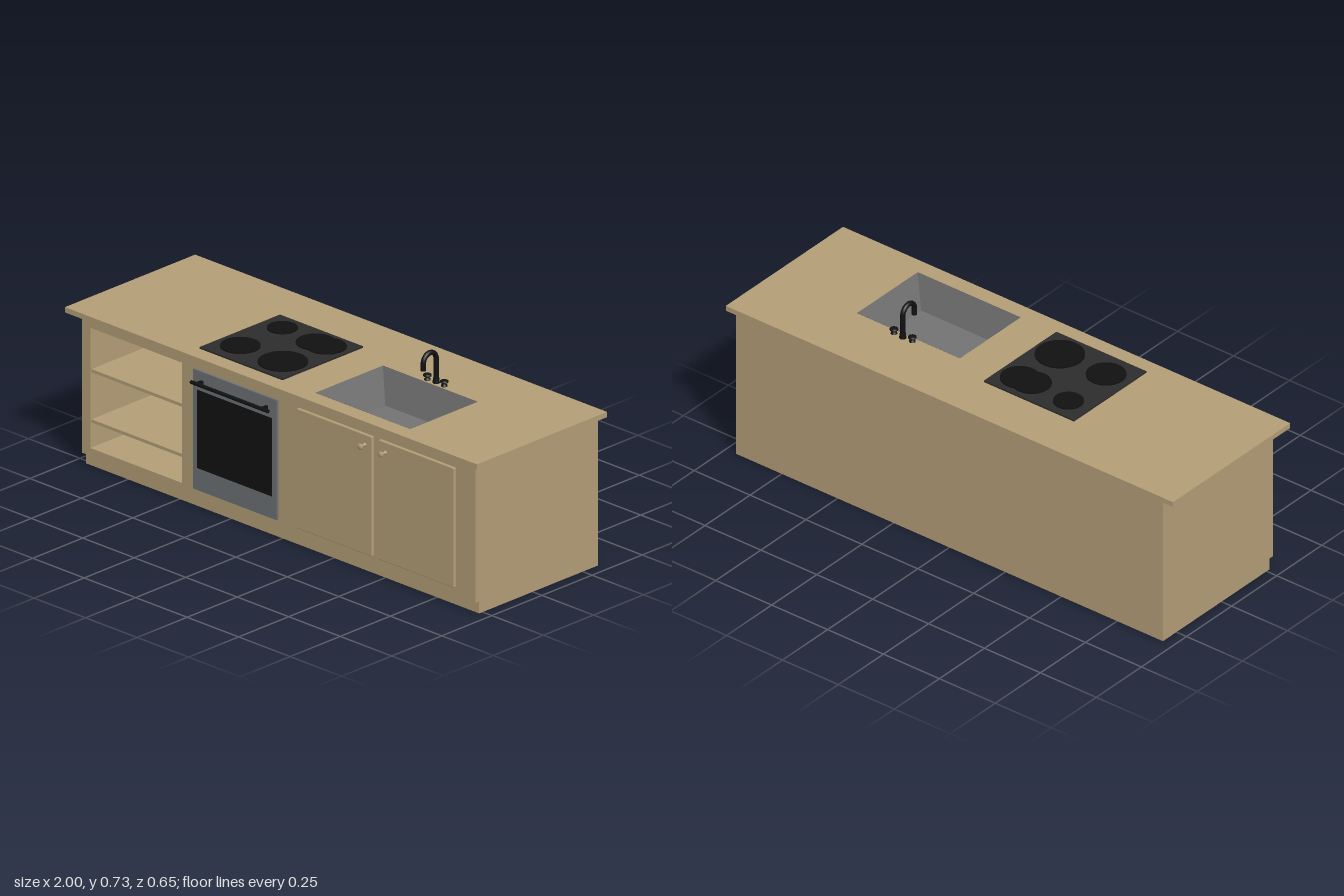
import * as THREE from 'three';
import { RoundedBoxGeometry } from 'three/addons/geometries/RoundedBoxGeometry.js';

const mat = (color, side = THREE.FrontSide) => new THREE.MeshStandardMaterial({ color, side });
const wood = mat(0xb39d76);
const black = mat(0x111111);
const glass = mat(0x2c2c2c);
const steel = mat(0x6c7072);
const sinkMetal = mat(0x737373, THREE.DoubleSide);

export function createModel() {
  const model = new THREE.Group();

  const add = (name, geometry, material, x = 0, y = 0, z = 0, parent = model) => {
    const mesh = new THREE.Mesh(geometry, material);
    mesh.name = name;
    mesh.position.set(x, y, z);
    parent.add(mesh);
    return mesh;
  };
  // Box given by its limits on each axis
  const box = (name, material, [x0, x1], [y0, y1], [z0, z1], parent = model) =>
    add(name, new THREE.BoxGeometry(x1 - x0, y1 - y0, z1 - z0), material,
      (x0 + x1) / 2, (y0 + y1) / 2, (z0 + z1) / 2, parent);
  // Rectangular board with one rectangular hole
  const board = ([x0, x1], [y0, y1], [hx0, hx1], [hy0, hy1], depth) => {
    const rect = (P, a, b, c, d) => new P([[a, c], [b, c], [b, d], [a, d]].map(p => new THREE.Vector2(...p)));
    const shape = rect(THREE.Shape, x0, x1, y0, y1);
    shape.holes.push(rect(THREE.Path, hx0, hx1, hy0, hy1));
    return new THREE.ExtrudeGeometry(shape, { depth, bevelEnabled: false });
  };

  // Carcass
  box('plinth', wood, [-0.955, 0.955], [0, 0.045], [-0.325, 0.267]);
  box('backPanel', wood, [-0.955, 0.955], [0.045, 0.575], [-0.325, -0.305]);
  for (const s of [-1, 1]) {
    const xs = [s * 0.955, s * 0.935].sort((a, b) => a - b);
    box('sidePanel', wood, xs, [0.045, 0.575], [-0.305, 0.267]);
  }
  const openX = [-0.915, -0.47], openY = [0.075, 0.53];
  add('frontPanel', board([-0.955, 0.955], [0.045, 0.575], openX, openY, 0.018), wood, 0, 0, 0.267);

  // Open shelf compartment
  const shelves = new THREE.Group();
  shelves.name = 'shelfCompartment';
  model.add(shelves);
  const inside = [-0.305, 0.267];
  box('compartmentSide', wood, [-0.93, -0.915], openY, inside, shelves);
  box('compartmentSide', wood, [-0.47, -0.455], openY, inside, shelves);
  box('compartmentFloor', wood, [-0.93, -0.455], [0.06, 0.075], inside, shelves);
  box('compartmentCeiling', wood, [-0.93, -0.455], [0.53, 0.545], inside, shelves);
  for (const y of [0.17, 0.36]) box('shelf', wood, openX, [y, y + 0.012], [-0.305, 0.28], shelves);

  // Countertop with sink cutout
  const sinkX = [0.155, 0.615], sinkZ = [-0.075, 0.262];
  const top = board([-1, 1], [-0.325, 0.325], sinkX, sinkZ, 0.02);
  top.rotateX(Math.PI / 2);
  add('countertop', top, wood, 0, 0.595, 0);

  // Tapered sink basin: four walls and a floor
  const ring = (x0, x1, z0, z1, y) => [[x0, y, z0], [x1, y, z0], [x1, y, z1], [x0, y, z1]];
  const rim = ring(...sinkX, ...sinkZ, 0.5955);
  const floor = ring(0.195, 0.578, -0.045, 0.235, 0.465);
  const corners = [];
  const quad = (a, b, c, d) => corners.push(...a, ...b, ...c, ...a, ...c, ...d);
  for (let i = 0; i < 4; i++) {
    const j = (i + 1) % 4;
    quad(rim[i], floor[i], floor[j], rim[j]);
  }
  quad(floor[3], floor[2], floor[1], floor[0]);
  const basin = new THREE.BufferGeometry();
  basin.setAttribute('position', new THREE.Float32BufferAttribute(corners, 3));
  basin.computeVertexNormals();
  add('sinkBasin', basin, sinkMetal);

  // Cooktop with four rings, the rear right one being a double ring
  box('cooktop', glass, [-0.408, -0.005], [0.595, 0.601], [-0.14, 0.262]);
  for (const [x, z, r] of [[-0.317, -0.058, 0.054], [-0.145, -0.048, 0.07], [-0.092, -0.048, 0.07],
    [-0.312, 0.157, 0.071], [-0.107, 0.155, 0.088]]) {
    add('burner', new THREE.CylinderGeometry(r, r, 0.006, 40), black, x, 0.603, z);
  }

  // Oven
  const oven = new THREE.Group();
  oven.name = 'oven';
  model.add(oven);
  box('ovenFront', steel, [-0.41, -0.003], [0.075, 0.528], [0.285, 0.293], oven);
  box('ovenWindow', black, [-0.388, -0.025], [0.16, 0.455], [0.29, 0.296], oven);
  const bar = new THREE.CylinderGeometry(0.007, 0.007, 0.375, 16);
  bar.rotateZ(Math.PI / 2);
  add('ovenHandle', bar, black, -0.207, 0.49, 0.318, oven);
  for (const x of [-0.365, -0.05]) box('handleMount', black, [x - 0.006, x + 0.006], [0.484, 0.496], [0.29, 0.318], oven);

  // Cupboard doors with turned knobs
  const knob = new THREE.LatheGeometry([[0.008, 0], [0.005, 0.004], [0.004, 0.016], [0.01, 0.02],
    [0.012, 0.024], [0.009, 0.028], [0, 0.03]].map(p => new THREE.Vector2(...p)), 20);
  knob.rotateX(Math.PI / 2);
  for (const [x, knobX] of [[0.278, 0.427], [0.676, 0.527]]) {
    add('door', new RoundedBoxGeometry(0.366, 0.454, 0.02, 2, 0.004), wood, x, 0.302, 0.285);
    add('doorKnob', knob, wood, knobX, 0.49, 0.295);
  }

  // Faucet with swan neck and two taps
  const faucet = new THREE.Group();
  faucet.name = 'faucet';
  faucet.position.set(0.393, 0.595, -0.096);
  model.add(faucet);
  const neck = new THREE.CurvePath();
  const v = (y, z) => new THREE.Vector3(0, y, z);
  const arc = [];
  for (let i = 0; i <= 16; i++) {
    const a = Math.PI * i / 16;
    arc.push(v(0.091 + 0.032 * Math.sin(a), 0.032 - 0.032 * Math.cos(a)));
  }
  neck.add(new THREE.LineCurve3(v(0, 0), arc[0]));
  neck.add(new THREE.CatmullRomCurve3(arc));
  neck.add(new THREE.LineCurve3(arc[16], v(0.065, 0.064)));
  add('neck', new THREE.TubeGeometry(neck, 64, 0.0095, 16), black, 0, 0, 0, faucet);
  const tip = add('spoutEnd', new THREE.CircleGeometry(0.0095, 16), black, 0, 0.065, 0.064, faucet);
  tip.rotation.x = Math.PI / 2;
  add('neckBase', new THREE.CylinderGeometry(0.011, 0.013, 0.018, 20), black, 0, 0.009, 0, faucet);
  const tap = new THREE.LatheGeometry([[0.012, 0], [0.011, 0.004], [0.007, 0.007], [0.007, 0.012],
    [0.015, 0.015], [0.015, 0.02], [0.01, 0.023], [0, 0.024]].map(p => new THREE.Vector2(...p)), 20);
  for (const x of [-0.041, 0.041]) add('tap', tap, black, x, 0, 0.002, faucet);

  return model;
}
